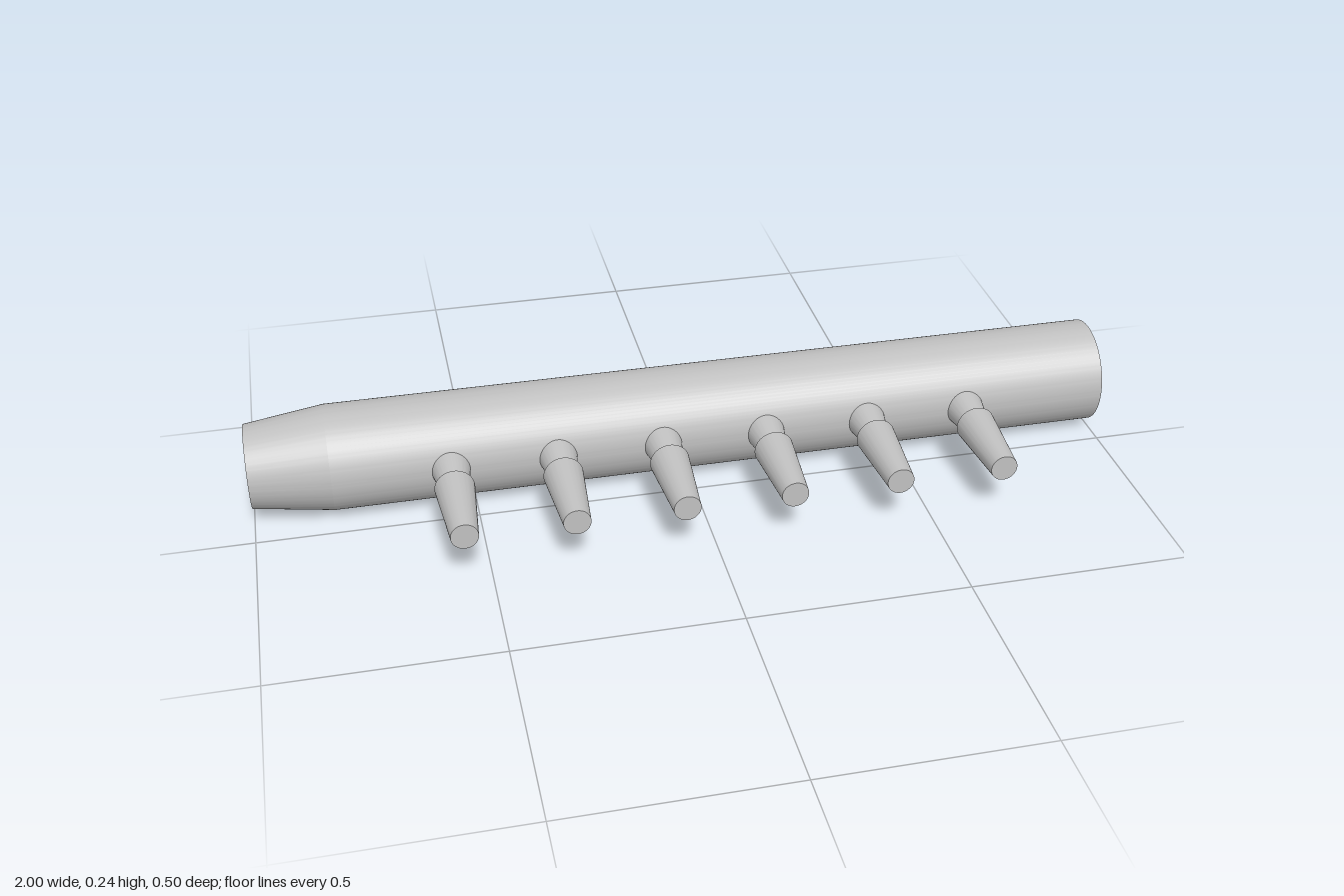
import * as THREE from 'three';
import { toCreasedNormals } from 'three/addons/utils/BufferGeometryUtils.js';

const AXIS_Y = 0.121, AXIS_Z = -0.129, RADIUS = 0.121;

// Revolve [radius, position] pairs, keeping hard edges sharp
function turned(profile, segments) {
  const points = profile.map(([r, h]) => new THREE.Vector2(r, h));
  return toCreasedNormals(new THREE.LatheGeometry(points, segments), 0.11);
}

export function createModel() {
  const model = new THREE.Group();
  model.name = 'manifold';
  const grey = new THREE.MeshStandardMaterial({ color: 0xc0c0c0 });
  grey.name = 'light grey';

  // Main pipe: hollow, tapered open inlet at -x, closed end at +x
  const pipeGeometry = turned([
    [0, 0.96], [0.077, 0.96], [0.077, -1], [0.096, -1],
    [RADIUS, -0.82], [RADIUS, 1], [0, 1],
  ], 96);
  pipeGeometry.rotateZ(-Math.PI / 2);
  const pipe = new THREE.Mesh(pipeGeometry, grey);
  pipe.name = 'mainPipe';
  pipe.position.set(0, AXIS_Y, AXIS_Z);
  model.add(pipe);

  // Barbed outlets: flared neck, step, then tapering tip
  const outletGeometry = turned([
    [0, -0.04], [0.048, -0.04], [0.032, 0.06], [0.045, 0.06],
    [0.0305, 0.25], [0, 0.25],
  ], 72);
  outletGeometry.rotateX(Math.PI / 2);
  for (let i = 0; i < 6; i++) {
    const outlet = new THREE.Mesh(outletGeometry, grey);
    outlet.name = `outlet${i + 1}`;
    outlet.position.set(-0.555 + i * 0.2424, AXIS_Y + 0.001, 0);
    model.add(outlet);
  }
  return model;
}
